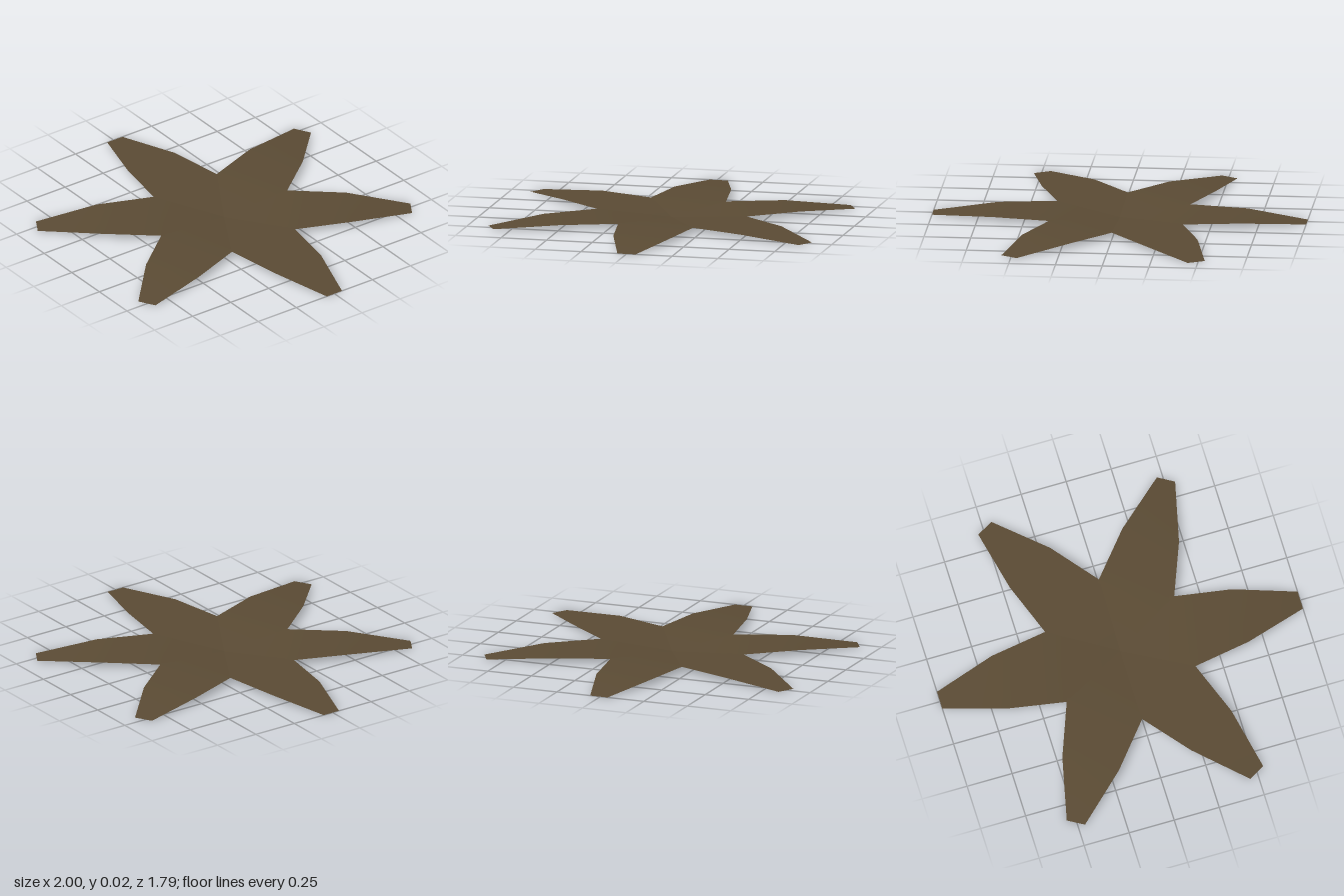
import * as THREE from 'three';

// Cross-sections of one petal, from the centre to the tip
const halfWidths = [0.08, 0.21, 0.155, 0.05];
const heights = [0, 0.024, 0.024, 0];

function petalGeometry() {
  const geometry = new THREE.PlaneGeometry(1, 1, 3, 1).rotateX(-Math.PI / 2);
  const p = geometry.attributes.position;
  for (let i = 0; i < p.count; i++) {
    const step = Math.round((p.getX(i) + 0.5) * 3);
    p.setXYZ(i, step / 3, heights[step], Math.sign(p.getZ(i)) * halfWidths[step]);
  }
  geometry.computeVertexNormals();
  return geometry;
}

export function createModel() {
  const group = new THREE.Group();
  group.name = 'leafRosette';
  const brown = new THREE.MeshStandardMaterial({ color: 0x5c4c35, side: THREE.DoubleSide });
  brown.name = 'dry leaf brown';

  // Six arched petals overlapping at the centre, stepped by 1.05 radians
  const geometry = petalGeometry();
  for (let i = 0; i < 6; i++) {
    const petal = new THREE.Mesh(geometry, brown);
    petal.name = `petal${i + 1}`;
    petal.rotation.y = -1.05 * i;
    group.add(petal);
  }
  return group;
}
